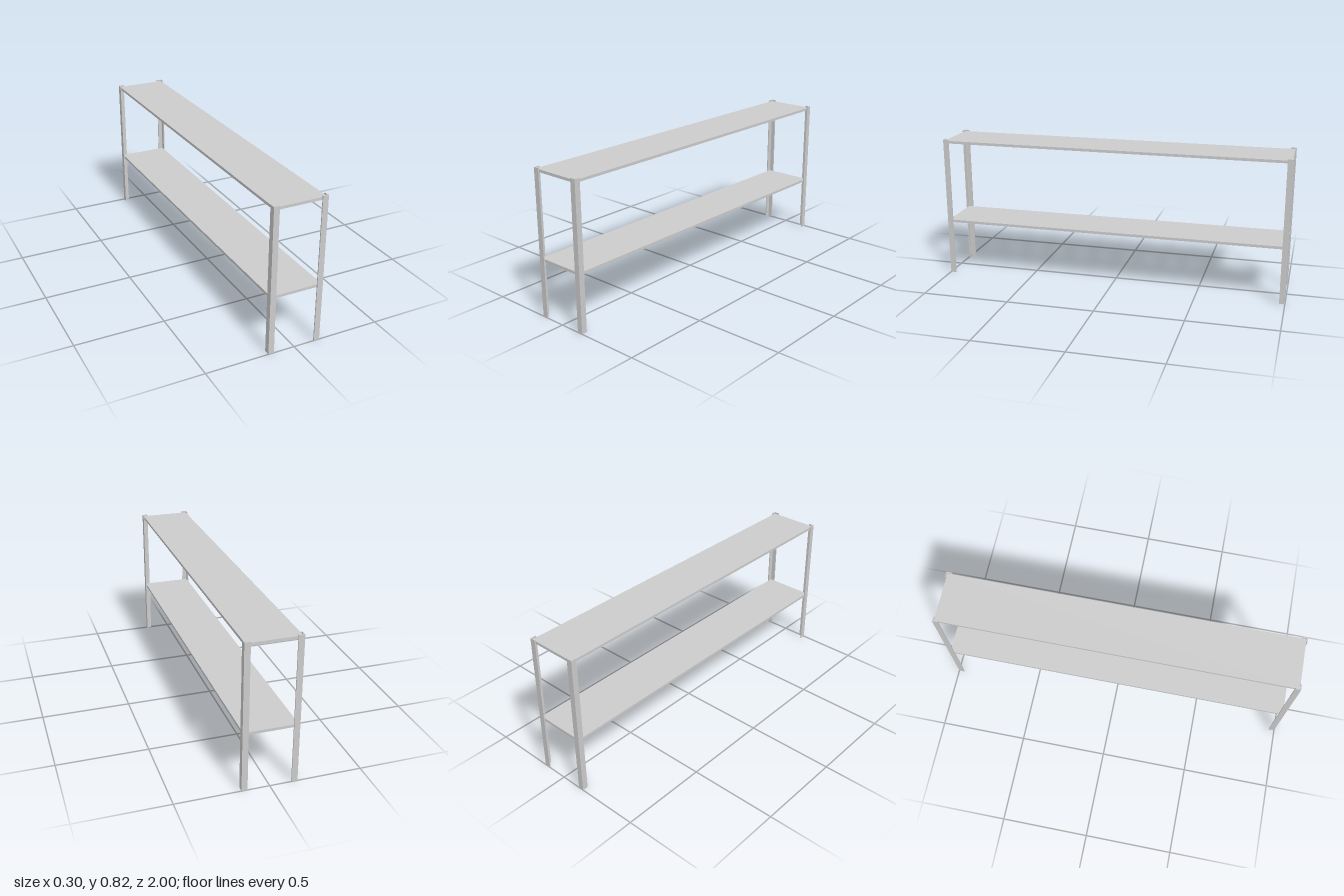
import * as THREE from 'three';

const HALF_X = 0.15, HALF_Z = 1, HEIGHT = 0.82;
const FLANGE = 0.032, WALL = 0.006, ROOT = 0.003;

// L-shaped section with its outer corner at the origin, legs along +x and +y
function angleSection() {
  const s = new THREE.Shape();
  s.moveTo(0, 0);
  s.lineTo(FLANGE, 0);
  s.lineTo(FLANGE, WALL);
  s.lineTo(WALL + ROOT, WALL);
  s.quadraticCurveTo(WALL, WALL, WALL, WALL + ROOT);
  s.lineTo(WALL, FLANGE);
  s.lineTo(0, FLANGE);
  s.closePath();
  return s;
}

export function createModel() {
  const model = new THREE.Group();
  const material = new THREE.MeshStandardMaterial({ color: 0xcccccc });

  // Corner posts: one angle profile turned so its flanges point inwards
  const postGeometry = new THREE.ExtrudeGeometry(angleSection(), {
    depth: HEIGHT, bevelEnabled: false, curveSegments: 4,
  });
  postGeometry.rotateX(-Math.PI / 2); // flanges now along +x and -z
  const corners = [
    ['frontRightPost', -1, 1, 0],
    ['frontLeftPost', 1, 1, Math.PI / 2],
    ['backLeftPost', 1, -1, Math.PI],
    ['backRightPost', -1, -1, -Math.PI / 2],
  ];
  for (const [name, sx, sz, turn] of corners) {
    const post = new THREE.Mesh(postGeometry, material);
    post.name = name;
    post.position.set(sx * HALF_X, 0, sz * HALF_Z);
    post.rotation.y = turn;
    model.add(post);
  }

  // Shelves fitted between the post walls
  const shelfGeometry = new THREE.BoxGeometry(
    2 * (HALF_X - WALL), 0.015, 2 * (HALF_Z - WALL));
  for (const [name, y] of [['lowerShelf', 0.325], ['upperShelf', 0.805]]) {
    const shelf = new THREE.Mesh(shelfGeometry, material);
    shelf.name = name;
    shelf.position.y = y;
    model.add(shelf);
  }
  return model;
}
